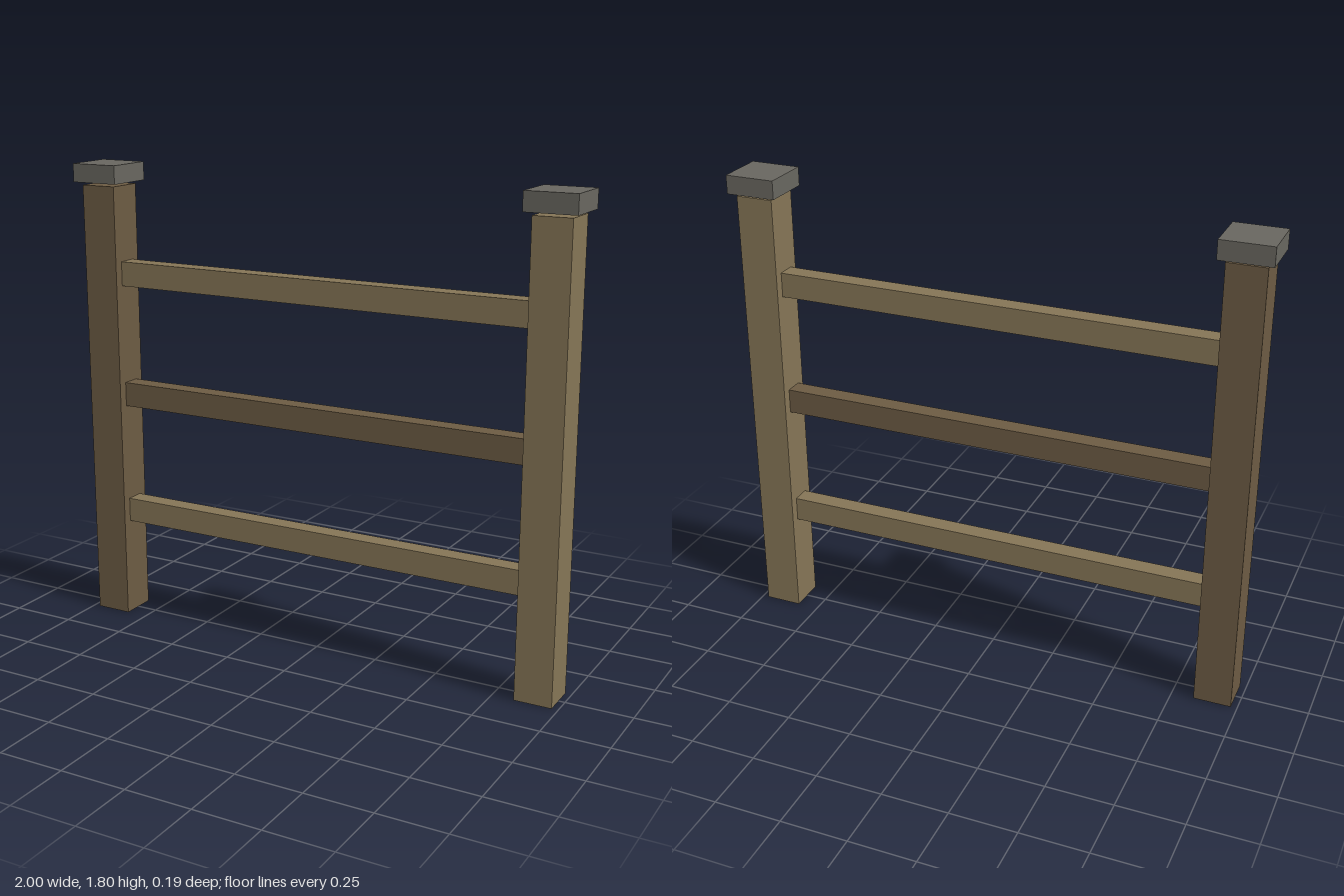
import * as THREE from 'three';

export function createModel() {
  const model = new THREE.Group();
  const paint = (color) => new THREE.MeshStandardMaterial({ color });
  const lightWood = paint(0x857556);
  const darkWood = paint(0x6c5b43);
  const stone = paint(0x68665f);

  // Box placed by its centre in x and its bottom and top in y
  function addBox(name, material, x, bottom, top, width, depth) {
    const mesh = new THREE.Mesh(new THREE.BoxGeometry(width, top - bottom, depth), material);
    mesh.name = name;
    mesh.position.set(x, (bottom + top) / 2, 0);
    model.add(mesh);
  }

  // Posts, each with a cap held just above it
  for (const side of [-1, 1]) {
    const label = side > 0 ? 'left' : 'right';
    const x = side * 0.905;
    addBox(label + 'Post', side > 0 ? lightWood : darkWood, x, 0, 1.716, 0.142, 0.142);
    addBox(label + 'PostCap', stone, x, 1.728, 1.798, 0.19, 0.19);
  }

  // Three evenly spaced rails between the posts
  ['lowerRail', 'middleRail', 'upperRail'].forEach((name, i) => {
    const y = 0.429 + i * 0.476;
    addBox(name, i === 1 ? darkWood : lightWood, 0, y - 0.047, y + 0.047, 1.67, 0.071);
  });

  return model;
}
